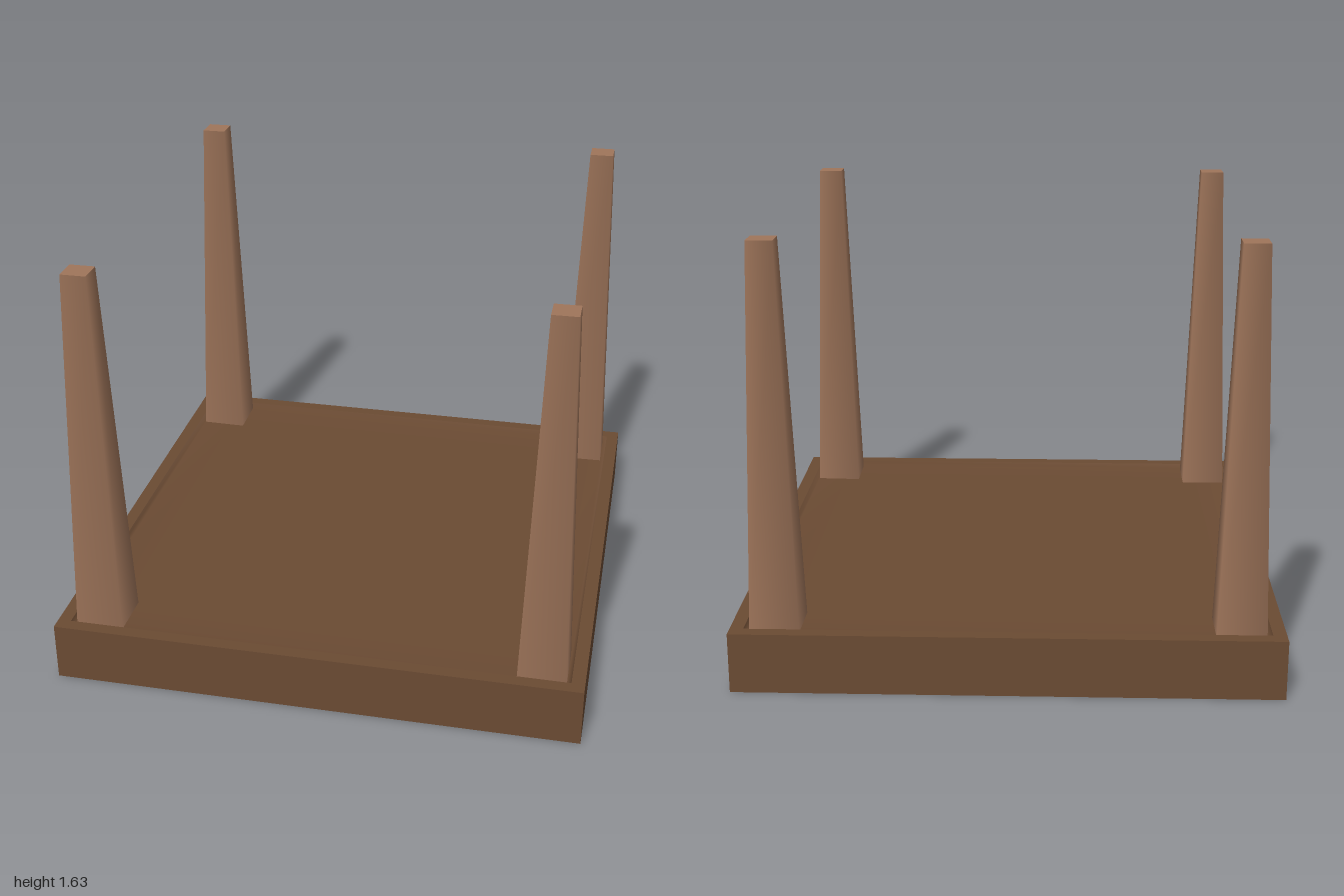
import * as THREE from 'three';

const DIAG = Math.SQRT2; // half-width to corner radius of a square

// Sweeps a (half-width, height) profile around a square
function squareLathe(profile) {
  const points = profile.map(([half, y]) => new THREE.Vector2(half * DIAG, y));
  return new THREE.LatheGeometry(points, 4, Math.PI / 4);
}

function addMesh(parent, name, geometry, material) {
  const mesh = new THREE.Mesh(geometry, material);
  mesh.name = name;
  parent.add(mesh);
  return mesh;
}

export function createModel() {
  const model = new THREE.Group();
  model.name = 'upturnedTable';

  const topWood = new THREE.MeshStandardMaterial({ color: 0x6b4b33 });
  const legWood = new THREE.MeshStandardMaterial({ color: 0xa0765b });

  // Table top lying face down: flat bottom, straight sides and a narrow rim
  const slab = squareLathe([[0, 0], [1, 0], [1, 0.227], [0.95, 0.227]]).toNonIndexed();
  slab.computeVertexNormals();
  addMesh(model, 'tableTop', slab, topWood);

  // Shallow recess inside the rim, softly shaded
  const recess = squareLathe([[0.95, 0.227], [0.935, 0.207], [0.8, 0.205], [0, 0.205]]);
  addMesh(model, 'recessedUnderside', recess, topWood);

  // Four tapered square legs pointing up
  const bottom = 0.2, top = 1.63;
  const legGeometry = new THREE.CylinderGeometry(
    0.047 * DIAG, 0.091 * DIAG, top - bottom, 4, 1, false, Math.PI / 4);
  for (const [z, end] of [[0.842, 'front'], [-0.842, 'back']]) {
    for (const [x, side] of [[0.842, 'Left'], [-0.842, 'Right']]) {
      addMesh(model, `${end}${side}Leg`, legGeometry, legWood)
        .position.set(x, (top + bottom) / 2, z);
    }
  }
  return model;
}
